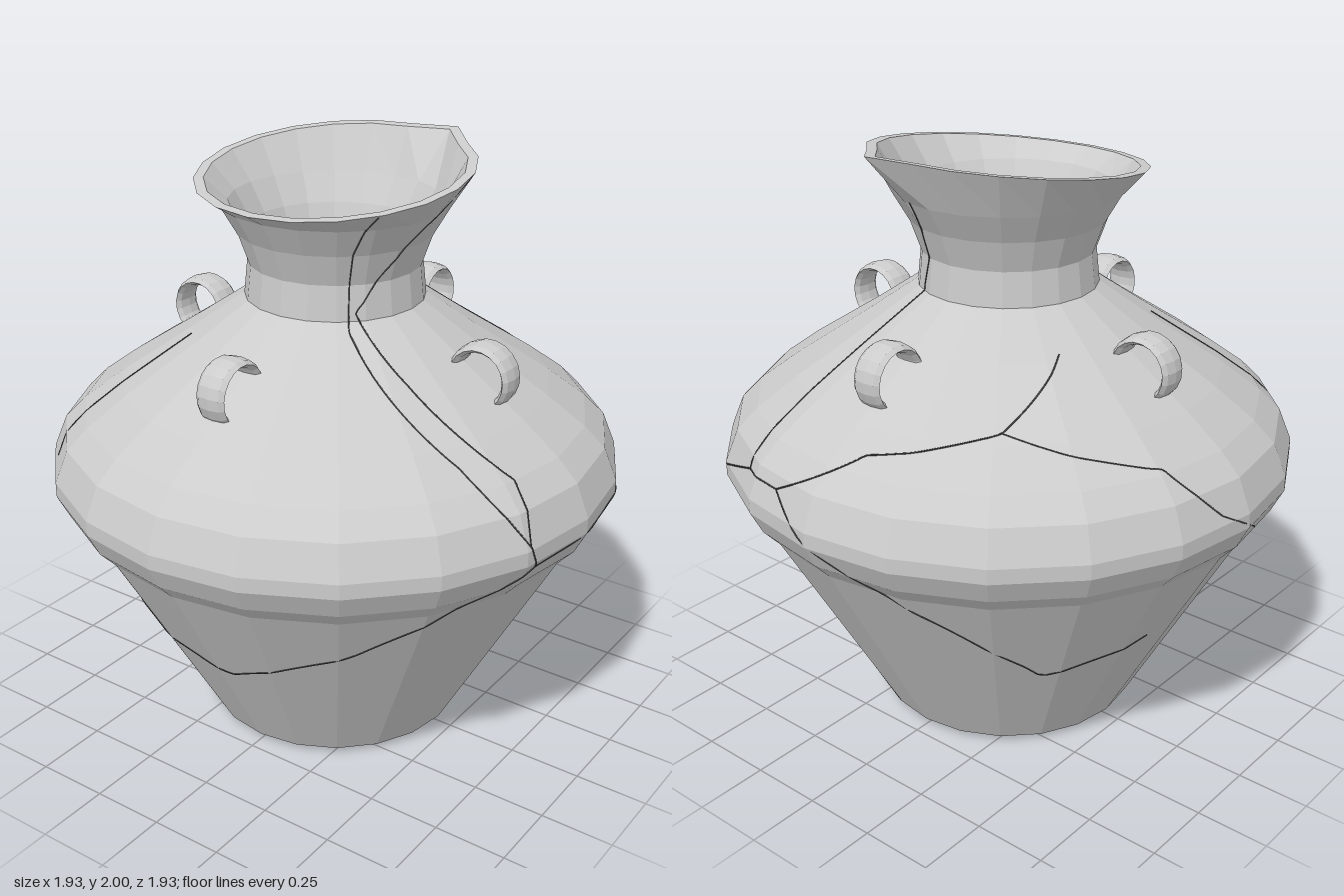
import * as THREE from 'three';

const SIDES = 20;
const RIM_Y = 1.94, RIM_R = 0.455, TILT = 0.123;

// Outer profile [radius, height] from foot to rim
const OUTER = [
  [0.4, 0], [0.45, 0.02], [0.87, 0.78], [0.925, 0.84], [0.965, 0.92], [0.965, 0.97],
  [0.92, 1.08], [0.85, 1.15], [0.72, 1.245], [0.475, 1.405], [0.3, 1.525],
  [0.288, 1.64], [0.325, 1.745], [0.38, 1.84], [RIM_R, RIM_Y],
];

// Radius of the faceted outer wall at an angle (degrees, from +x towards +z) and height
function wallRadius(deg, y) {
  const rimY = RIM_Y + TILT * RIM_R * Math.cos(THREE.MathUtils.degToRad(deg));
  const heights = OUTER.map((p, i) => (i === OUTER.length - 1 ? rimY : p[1]));
  let i = 0;
  while (i < OUTER.length - 2 && y > heights[i + 1]) i++;
  const t = Math.min(1, (y - heights[i]) / (heights[i + 1] - heights[i]));
  const r = THREE.MathUtils.lerp(OUTER[i][0], OUTER[i + 1][0], t);
  const step = 360 / SIDES;
  const off = THREE.MathUtils.euclideanModulo(deg, step) - step / 2;
  return r * Math.cos(Math.PI / SIDES) / Math.cos(THREE.MathUtils.degToRad(off));
}

// Hollow body with a slanted rim and a small pointed lip
function makeBody(material) {
  const inner = OUTER.slice(1).reverse().map(([r, y]) => [r - 0.033, y]);
  inner[inner.length - 1] = [0.43, 0.05];
  const profile = [[0, 0], ...OUTER, ...inner, [0, 0.05]].map(([r, y]) => new THREE.Vector2(r, y));
  const geometry = new THREE.LatheGeometry(profile, SIDES);
  const pos = geometry.attributes.position;
  for (let i = 0; i < pos.count; i++) {
    if (pos.getY(i) < RIM_Y - 0.01) continue;
    const deg = THREE.MathUtils.radToDeg(Math.atan2(pos.getZ(i), pos.getX(i)));
    const pull = Math.abs(deg - 18) < 1 ? 1.13 : 1;
    const x = pos.getX(i) * pull;
    pos.setXYZ(i, x, RIM_Y + TILT * x, pos.getZ(i) * pull);
  }
  geometry.computeVertexNormals();
  const body = new THREE.Mesh(geometry, material);
  body.name = 'body';
  return body;
}

// Flat band loop that stands on the shoulder
function makeHandle(material) {
  const geometry = new THREE.TorusGeometry(0.097, 0.016, 8, 12, THREE.MathUtils.degToRad(225));
  geometry.rotateZ(THREE.MathUtils.degToRad(-50));
  geometry.scale(1, 1, 3.4);
  geometry.translate(0.567, 1.357, 0);
  geometry.computeVertexNormals();
  return new THREE.Mesh(geometry, material);
}

// Hairline crack through [angle, height] points, laid on the wall
function makeCrack(path, material) {
  const points = [];
  for (let i = 0; i < path.length - 1; i++) {
    for (let k = 0; k <= 12; k++) {
      if (k === 0 && i > 0) continue;
      const deg = THREE.MathUtils.lerp(path[i][0], path[i + 1][0], k / 12);
      const y = THREE.MathUtils.lerp(path[i][1], path[i + 1][1], k / 12);
      const a = THREE.MathUtils.degToRad(deg), r = wallRadius(deg, y);
      points.push(new THREE.Vector3(r * Math.cos(a), y, r * Math.sin(a)));
    }
  }
  const curve = new THREE.CatmullRomCurve3(points);
  return new THREE.Mesh(new THREE.TubeGeometry(curve, points.length * 2, 0.003, 4), material);
}

const CRACKS = [
  // front
  [[74, 1.95], [132, 1.55], [119, 1.38], [105, 1.15], [107, 0.98], [105, 0.9]],
  [[128, 1.9], [135, 1.75], [137, 1.5], [116, 1.2], [111, 1.08], [107, 0.98]],
  [[105, 0.9], [38, 0.95], [22, 1.04], [11, 1.04]],
  [[105, 0.9], [140, 0.6], [175, 0.4], [225, 0.5]],
  [[38, 0.95], [33, 0.8], [19, 0.02]],
  // left side
  [[12, 1.92], [15, 1.8], [26, 1.55], [26, 1.4], [22, 1.04]],
  [[11, 1.04], [-49, 0.4], [-80, 0.48]],
  [[11, 1.04], [-7, 1.19], [-38, 1.27], [-60, 1.42]],
  // back
  [[-38, 1.27], [-73, 1.16], [-83, 1.0]],
  [[225, 0.5], [277, 1.0]],
  [[225, 0.5], [222, 0.02]],
  [[225, 1.0], [227, 1.4]],
];

export function createModel() {
  const clay = new THREE.MeshStandardMaterial({ color: 0xcccccc, flatShading: true });
  const dark = new THREE.MeshStandardMaterial({ color: 0x444444 });
  const vase = new THREE.Group();
  vase.name = 'vase';
  vase.add(makeBody(clay));

  // Four handles, one on each side
  ['left', 'back', 'right', 'front'].forEach((side, i) => {
    const handle = makeHandle(clay);
    handle.name = side + 'Handle';
    handle.rotation.y = i * Math.PI / 2;
    handle.position.x = 0.01;
    vase.add(handle);
  });

  const cracks = new THREE.Group();
  cracks.name = 'cracks';
  CRACKS.forEach((path, i) => {
    const crack = makeCrack(path, dark);
    crack.name = 'crack' + (i + 1);
    cracks.add(crack);
  });
  vase.add(cracks);
  return vase;
}
